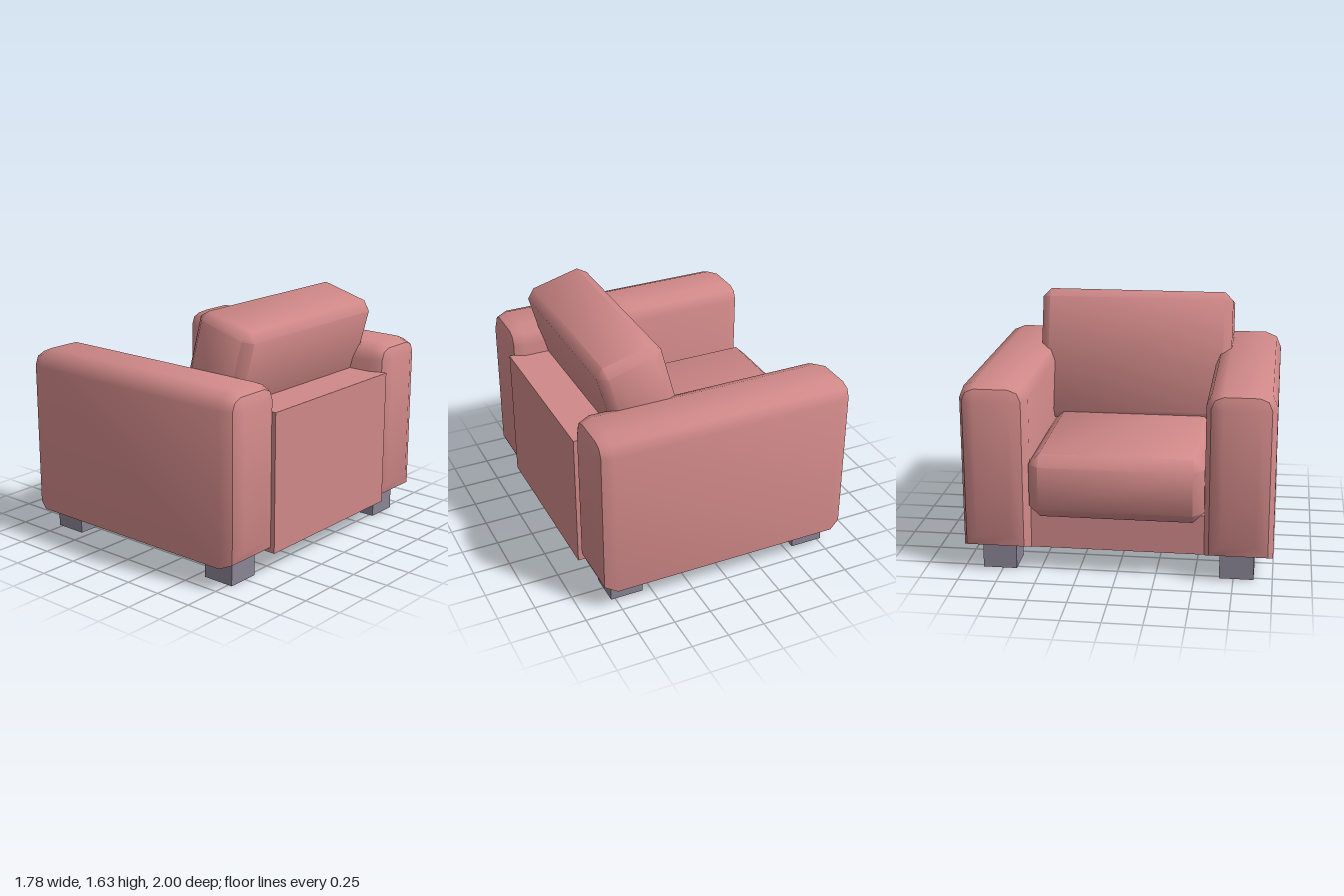
import * as THREE from 'three';
import { toCreasedNormals, mergeGeometries } from 'three/addons/utils/BufferGeometryUtils.js';

const fabric = new THREE.MeshStandardMaterial({ color: 0xd08888 });
fabric.name = 'rose fabric';
const legPaint = new THREE.MeshStandardMaterial({ color: 0x8a8495 });
legPaint.name = 'grey leg';

// Cross-section in the z-y plane, shrunk by inset, with corners rounded in n steps
function section(x, inset, d, h, r, n, roundBottom) {
  const hz = d / 2 - inset, hy = h / 2 - inset, rr = Math.max(r - inset, 0);
  const pts = [];
  const corner = (sz, sy, start, round) => {
    const q = round ? rr : 0;
    for (let i = 0; i <= (round ? n : 0); i++) {
      const a = start + (i / n) * Math.PI / 2;
      pts.push([x, sy * (hy - q) + q * Math.sin(a), sz * (hz - q) - q * Math.cos(a)]);
    }
  };
  corner(-1, -1, -Math.PI / 2, roundBottom);
  corner(-1, 1, 0, true);
  corner(1, 1, Math.PI / 2, true);
  corner(1, -1, Math.PI, roundBottom);
  return pts;
}

// Skin a row of sections running along +x, with optional end faces
function loft(rings, capStart, capEnd) {
  const pos = [];
  const tri = (a, b, c) => pos.push(...a, ...b, ...c);
  const n = rings[0].length;
  for (let k = 0; k + 1 < rings.length; k++) {
    const a = rings[k], b = rings[k + 1];
    for (let i = 0; i < n; i++) {
      const j = (i + 1) % n;
      tri(a[i], a[j], b[j]);
      tri(a[i], b[j], b[i]);
    }
  }
  const first = rings[0], last = rings[rings.length - 1];
  for (let i = 1; i + 1 < n; i++) {
    if (capStart) tri(first[0], first[i + 1], first[i]);
    if (capEnd) tri(last[0], last[i], last[i + 1]);
  }
  const g = new THREE.BufferGeometry();
  g.setAttribute('position', new THREE.Float32BufferAttribute(pos, 3));
  return toCreasedNormals(g, 1.0);
}

// Cushion: a block with every edge chamfered and softly shaded
function cushionGeometry(w, h, d, c) {
  const s = (x, inset) => section(x, inset, d, h, c, 1, true);
  return loft([s(-w / 2, c), s(-w / 2 + c, 0), s(w / 2 - c, 0), s(w / 2, c)], true, true);
}

// Arm: rounded top, square bottom sides, bevelled ends with a crease
function armGeometry(w, h, d, r) {
  const k = r * 0.3, e = w / 2;
  const s = (x, inset) => section(x, inset, d, h, r, 2, false);
  return mergeGeometries([
    loft([s(-e + k, k), s(-e + r, 0), s(e - r, 0), s(e - k, k)], false, false),
    loft([s(-e, r), s(-e + k, k)], true, false),
    loft([s(e - k, k), s(e, r)], false, true),
  ]);
}

export function createModel() {
  const model = new THREE.Group();
  model.name = 'armchair';
  const add = (name, geometry, material, x, y, z) => {
    const mesh = new THREE.Mesh(geometry, material);
    mesh.name = name;
    mesh.position.set(x, y, z);
    model.add(mesh);
    return mesh;
  };
  const block = (name, mat, x0, x1, y0, y1, z0, z1) =>
    add(name, new THREE.BoxGeometry(x1 - x0, y1 - y0, z1 - z0), mat,
      (x0 + x1) / 2, (y0 + y1) / 2, (z0 + z1) / 2);

  // Frame
  block('seatBase', fabric, -0.77, 0.888, 0.155, 0.42, -0.6, 0.6);
  block('backFrame', fabric, 0.55, 0.888, 0.42, 1.075, -0.6, 0.6);

  // Cushions
  add('seatCushion', cushionGeometry(1.49, 0.42, 1.12, 0.07), fabric, -0.145, 0.6, 0);
  add('backCushion', cushionGeometry(0.444, 0.9, 1.33, 0.057), fabric, 0.41, 1.153, 0)
    .rotation.z = -THREE.MathUtils.degToRad(15);

  // Arms and legs on both sides
  const arm = armGeometry(1.776, 1.108, 0.44, 0.11);
  for (const side of [1, -1]) {
    const label = side > 0 ? 'left' : 'right';
    add(label + 'Arm', arm, fabric, 0, 0.709, side * 0.78);
    for (const end of [1, -1]) {
      const x = end * 0.668, z = side * 0.77;
      block(label + (end > 0 ? 'RearLeg' : 'FrontLeg'), legPaint,
        x - 0.11, x + 0.11, 0, 0.16, z - 0.11, z + 0.11);
    }
  }
  return model;
}
